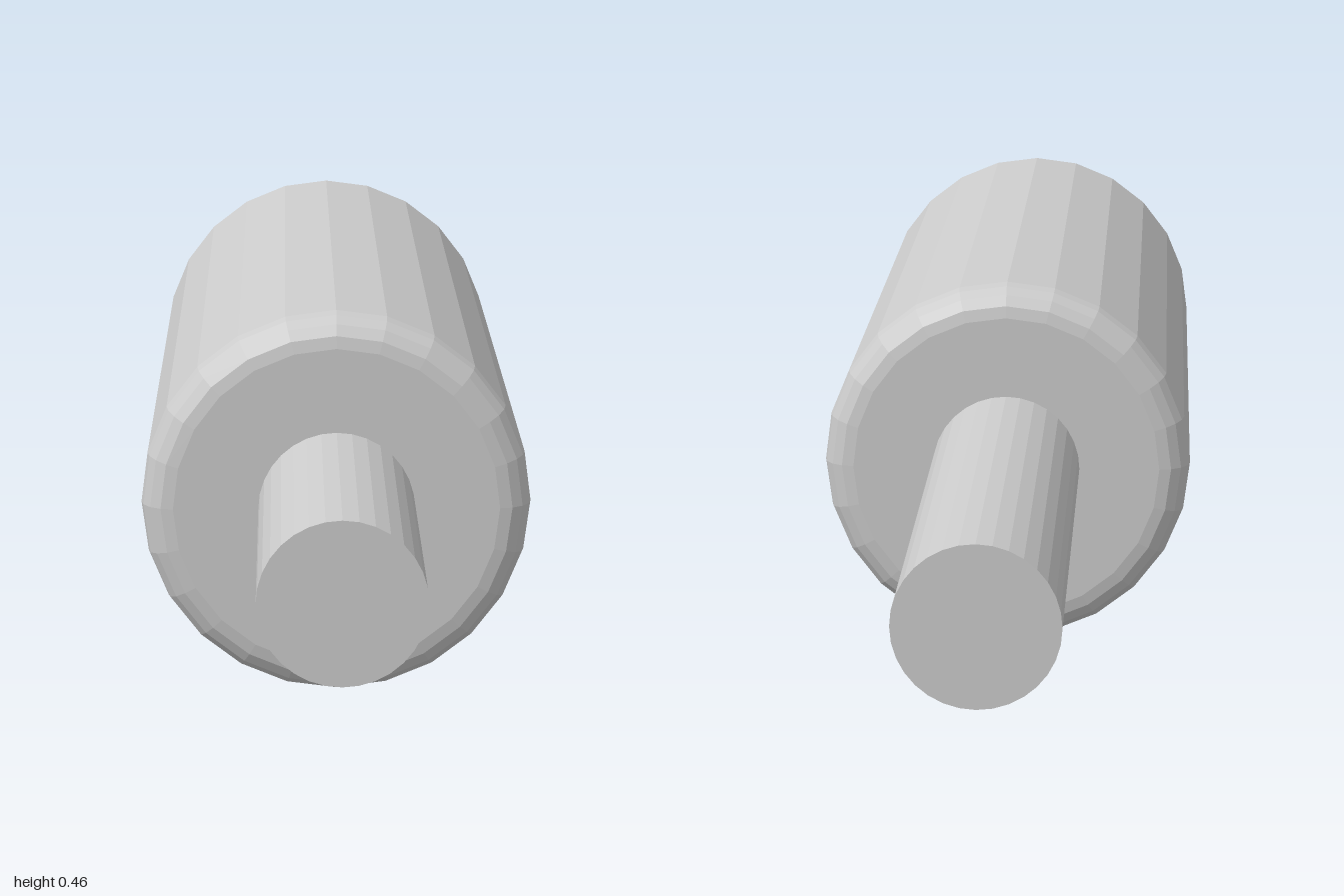
import * as THREE from 'three';

export function createModel() {
  const group = new THREE.Group();
  const material = new THREE.MeshStandardMaterial({ color: 0xcccccc, flatShading: true });
  const radius = 0.228, back = -0.362, front = 0.622, bevel = 0.038, steps = 4;

  // Roller body: 24-sided drum with rounded rims, turned to lie along z
  const profile = [new THREE.Vector2(0, back)];
  const addRim = (z, from) => {
    for (let i = 0; i <= steps; i++) {
      const a = from + (i / steps) * Math.PI / 2;
      profile.push(new THREE.Vector2(radius - bevel + bevel * Math.cos(a), z + bevel * Math.sin(a)));
    }
  };
  addRim(back + bevel, -Math.PI / 2);
  addRim(front - bevel, 0);
  profile.push(new THREE.Vector2(0, front));
  const body = new THREE.Mesh(new THREE.LatheGeometry(profile, 24).rotateX(Math.PI / 2), material);
  body.name = 'rollerBody';

  // Shaft running through the body, longer at the back
  const shaft = new THREE.Mesh(new THREE.CylinderGeometry(0.091, 0.091, 2, 32).rotateX(Math.PI / 2), material);
  shaft.name = 'shaft';

  for (const part of [body, shaft]) {
    part.position.y = radius;
    group.add(part);
  }
  return group;
}
